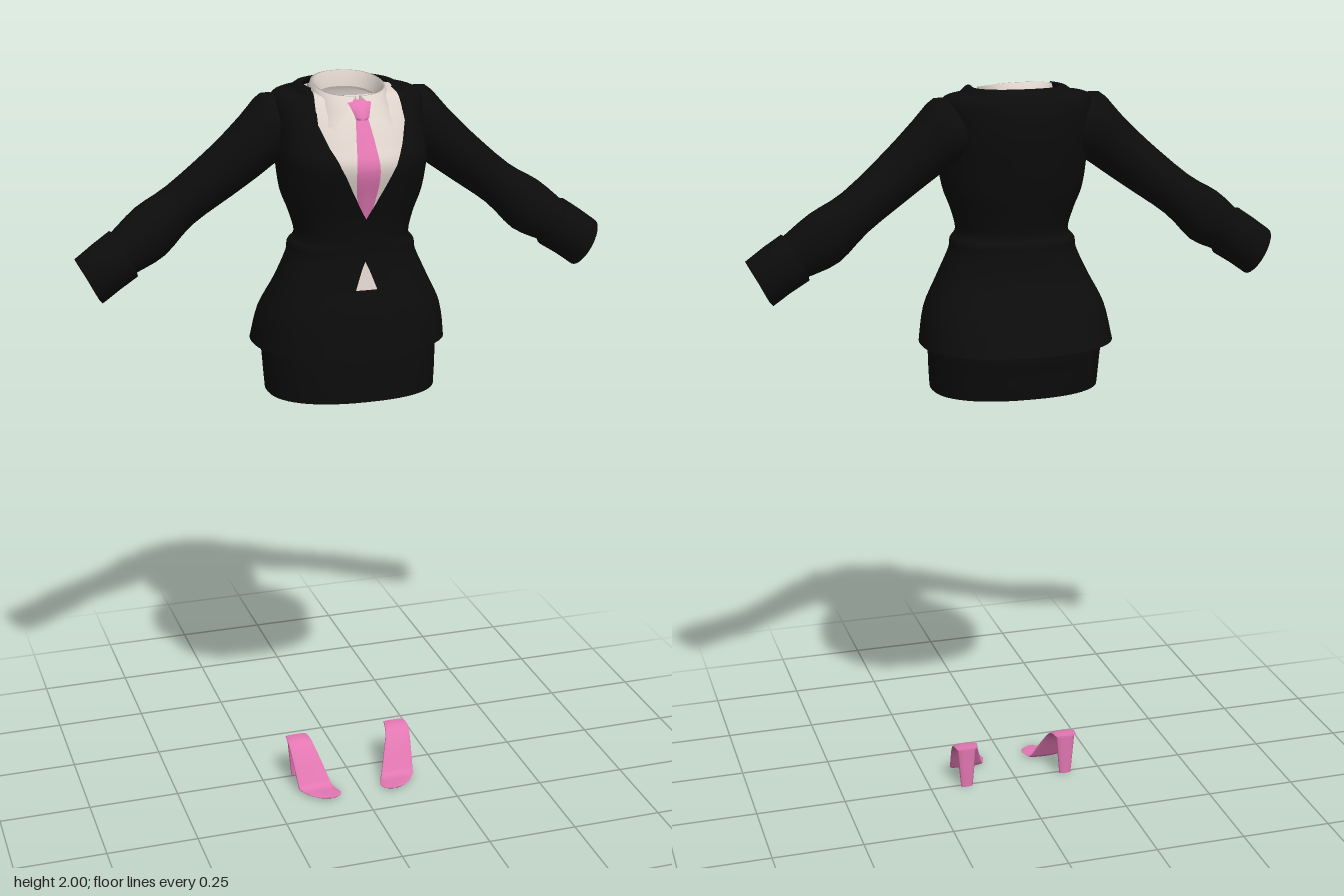
import * as THREE from 'three';

const material = (name, color) => {
  const m = new THREE.MeshStandardMaterial({ color, side: THREE.DoubleSide });
  m.name = name;
  return m;
};

// Smooth surface from a rule: i runs around (left to right), j runs along (bottom to top)
function grid(nu, nv, rule) {
  const pos = [], idx = [];
  for (let j = 0; j <= nv; j++) for (let i = 0; i <= nu; i++) pos.push(...rule(i / nu, j));
  for (let j = 0; j < nv; j++) for (let i = 0; i < nu; i++) {
    const a = j * (nu + 1) + i, c = a + nu + 1;
    idx.push(a, a + 1, c, a + 1, c + 1, c);
  }
  const g = new THREE.BufferGeometry();
  g.setAttribute('position', new THREE.Float32BufferAttribute(pos, 3));
  g.setIndex(idx);
  g.computeVertexNormals();
  return g;
}

// Adds rows between the given ones, smooth in every column except the last, which stays straight
function densify(rows, k = 4) {
  const out = [], last = rows.length - 1;
  for (let s = 0; s <= last * k; s++) {
    const i = Math.min(Math.floor(s / k), last - 1), t = s / k - i;
    const at = (n) => rows[Math.max(0, Math.min(last, n))];
    out.push(rows[0].map((_, c) => {
      const a = at(i - 1)[c], b = at(i)[c], d = at(i + 1)[c], e = at(i + 2)[c];
      if (c === rows[0].length - 1) return b + (d - b) * t;
      const m0 = (d - a) / 2, m1 = (e - b) / 2, t2 = t * t, t3 = t2 * t;
      return (2 * t3 - 3 * t2 + 1) * b + (t3 - 2 * t2 + t) * m0 + (3 * t2 - 2 * t3) * d + (t3 - t2) * m1;
    }));
  }
  return out;
}

// Body rings: [y front, y back, half width, z front, z back, half opening at the front]
const POWER = 0.85;
const soft = (v) => Math.sign(v) * Math.abs(v) ** POWER;
function ringPoint([yF, yB, hw, zF, zB], t) {
  const c = Math.cos(t), zc = (zF + zB) / 2;
  return [hw * soft(Math.sin(t)), yB + (yF - yB) * (1 + c) / 2, zc + (zF - zc) * soft(c)];
}
const angleAt = (row, x) => Math.asin(Math.min(1, (Math.max(0, x) / row[2]) ** (1 / POWER)));
const loft = (rows, from = (r) => angleAt(r, r[5]), to = (r) => 2 * Math.PI - angleAt(r, r[5])) =>
  grid(56, rows.length - 1, (u, j) => {
    const r = rows[j], a = from(r), b = to(r);
    return ringPoint(r, a + (b - a) * u);
  });
const inflate = (rows, d, dy = 0, gap = 0) =>
  rows.map(([a, b, w, f, k, g]) => [a + dy, b + dy, w + d, f + d, k - d, g * gap]);

const JACKET = densify([
  [1.31, 1.31, 0.258, 0.2, -0.2, 0.095],
  [1.4, 1.4, 0.242, 0.19, -0.155, 0.06],
  [1.48, 1.48, 0.203, 0.174, -0.112, 0.028],
  [1.55, 1.55, 0.17, 0.162, -0.097, 0],
  [1.58, 1.58, 0.165, 0.16, -0.095, 0],
  [1.605, 1.605, 0.148, 0.161, -0.085, 0],
  [1.66, 1.66, 0.162, 0.166, -0.097, 0],
  [1.72, 1.72, 0.184, 0.18, -0.114, 0.032],
  [1.8, 1.8, 0.194, 0.199, -0.13, 0.073],
  [1.85, 1.85, 0.194, 0.176, -0.138, 0.097],
  [1.9, 1.9, 0.196, 0.145, -0.14, 0.115],
  [1.935, 1.945, 0.198, 0.118, -0.135, 0.113],
  [1.955, 1.968, 0.185, 0.102, -0.123, 0.111],
  [1.964, 1.975, 0.145, 0.097, -0.11, 0.108],
  [1.968, 1.98, 0.115, 0.094, -0.102, 0.105],
]);
const SHIRT = inflate(JACKET.filter((r) => r[0] > 1.47), -0.014, -0.006);
const SKIRT = densify([
  [1.18, 1.18, 0.226, 0.188, -0.142, 0],
  [1.25, 1.25, 0.23, 0.19, -0.155, 0],
  [1.32, 1.32, 0.23, 0.187, -0.164, 0],
  [1.42, 1.42, 0.208, 0.172, -0.128, 0],
  [1.5, 1.5, 0.175, 0.15, -0.085, 0],
]);
// Folded shirt collar: outer points, top fold, inside of the neck
const COLLAR = [
  [1.88, 1.95, 0.109, 0.163, -0.1, 0.072],
  [1.925, 1.978, 0.102, 0.128, -0.09, 0.038],
  [1.962, 2.0, 0.094, 0.1, -0.08, 0.008],
  [1.962, 2.0, 0.086, 0.094, -0.074, 0.004],
  [1.925, 1.96, 0.078, 0.092, -0.066, 0],
];
// Jacket collar behind the neck
const NECK_COLLAR = densify([
  [1.9, 1.925, 0.162, 0.13, -0.148, 0.12],
  [1.955, 1.96, 0.15, 0.12, -0.138, 0.118],
  [1.978, 1.984, 0.128, 0.11, -0.118, 0.112],
  [1.976, 1.985, 0.112, 0.1, -0.1, 0.105],
], 3);

// Sleeve sections: [top x, top y, bottom x, bottom y, z centre, z radius]
const SLEEVE = densify([
  [0.16, 1.95, 0.14, 1.81, -0.025, 0.07],
  [0.218, 1.961, 0.185, 1.785, -0.022, 0.078],
  [0.275, 1.905, 0.235, 1.75, -0.02, 0.07],
  [0.35, 1.832, 0.3, 1.705, -0.025, 0.061],
  [0.465, 1.735, 0.405, 1.632, -0.038, 0.057],
  [0.55, 1.685, 0.48, 1.558, -0.033, 0.06],
  [0.615, 1.63, 0.555, 1.523, -0.02, 0.056],
  [0.64, 1.61, 0.585, 1.51, -0.018, 0.054],
], 3);
const CUFF = [
  [0.615, 1.628, 0.558, 1.524, -0.02, 0.054],
  [0.622, 1.632, 0.556, 1.512, -0.018, 0.063],
  [0.667, 1.602, 0.603, 1.483, -0.014, 0.062],
  [0.715, 1.567, 0.65, 1.45, -0.012, 0.057],
  [0.708, 1.562, 0.657, 1.457, -0.012, 0.05],
];
const armLoft = (rows, side) => grid(24, rows.length - 1, (u, j) => {
  const [tx, ty, bx, by, z, r] = rows[j], t = u * Math.PI * 2, c = Math.cos(t) / 2;
  return [side * ((tx + bx) / 2 + (tx - bx) * c), (ty + by) / 2 + (ty - by) * c, z - side * r * Math.sin(t)];
});

// Flat strip lying on the shirt front: rows of [y, half width, lift]
function shirtZ(y) {
  const i = Math.max(1, SHIRT.findIndex((r) => r[0] >= y)), a = SHIRT[i - 1], b = SHIRT[i];
  return a[3] + (b[3] - a[3]) * (y - a[0]) / (b[0] - a[0]);
}
const strip = (rows, bow) => grid(8, rows.length - 1, (u, j) => {
  const [y, w, lift] = rows[j], s = u * 2 - 1;
  return [s * w, y, shirtZ(y) + lift + bow * (1 - s * s)];
});
const TIE = densify([[1.64, 0.008, 0.004], [1.7, 0.022, 0.004], [1.77, 0.031, 0.005], [1.84, 0.026, 0.007], [1.92, 0.015, 0.012]]);
const KNOT = [[1.908, 0.012, 0.013], [1.914, 0.018, 0.018], [1.935, 0.025, 0.022], [1.948, 0.031, 0.02], [1.954, 0.028, 0.008]];

// Shoe sole sections: [z, y, x centre, half width]
const SOLE = densify([
  [0.163, 0.006, 0.092, 0.004], [0.155, 0.006, 0.095, 0.028], [0.135, 0.006, 0.103, 0.044],
  [0.1, 0.008, 0.12, 0.049], [0.085, 0.028, 0.126, 0.046], [0.06, 0.07, 0.135, 0.041],
  [0.035, 0.105, 0.143, 0.036], [0.012, 0.12, 0.146, 0.034], [-0.016, 0.122, 0.147, 0.03],
], 3);
const sole = (side) => grid(20, SOLE.length - 1, (u, j) => {
  const [z, y, x, w] = SOLE[j], t = u * Math.PI * 2, c = Math.cos(t), s = Math.sin(t);
  return [side * x + w * c, Math.max(0, y + 0.004 * s), z + 0.003 * s];
});

export function createModel() {
  const model = new THREE.Group();
  const black = material('black cloth', 0x0c0c0c);
  const white = material('off-white cotton', 0xded3cb);
  const pink = material('pink', 0xe277b2);
  const add = (name, geometry, mat) => {
    const mesh = new THREE.Mesh(geometry, mat);
    mesh.name = name;
    model.add(mesh);
    return mesh;
  };

  add('jacket', loft(JACKET), black);
  add('jacketCollar', loft(NECK_COLLAR), black);
  add('skirt', loft(SKIRT), black);
  add('shirt', loft(SHIRT), white);
  add('shirtCollar', loft(COLLAR), white);
  add('tie', strip(TIE, 0.004), pink);
  add('tieKnot', strip(KNOT, 0.008), pink);

  // Lapels lie just above the jacket front and narrow sharply above the notch
  const lapelRows = inflate(JACKET.filter((r) => r[0] > 1.655 && r[0] < 1.93), 0.006, 0, 1);
  const inner = (r) => angleAt(r, r[5]);
  const outer = (r) => angleAt(r, r[5] + (r[0] < 1.88 ? (r[0] - 1.655) * 0.3 : 0.04));

  for (const [side, label] of [[1, 'left'], [-1, 'right']]) {
    add(label + 'Lapel', side > 0 ? loft(lapelRows, inner, outer)
      : loft(lapelRows, (r) => -outer(r), (r) => -inner(r)), black);
    add(label + 'Sleeve', armLoft(SLEEVE, side), black);
    add(label + 'Cuff', armLoft(CUFF, side), black);
    add(label + 'ShoeSole', sole(side), pink);
    const heel = add(label + 'ShoeHeel', new THREE.CylinderGeometry(0.028, 0.017, 0.12, 12), pink);
    heel.scale.z = 0.34;
    heel.position.set(side * 0.147, 0.06, -0.008);
  }
  return model;
}
